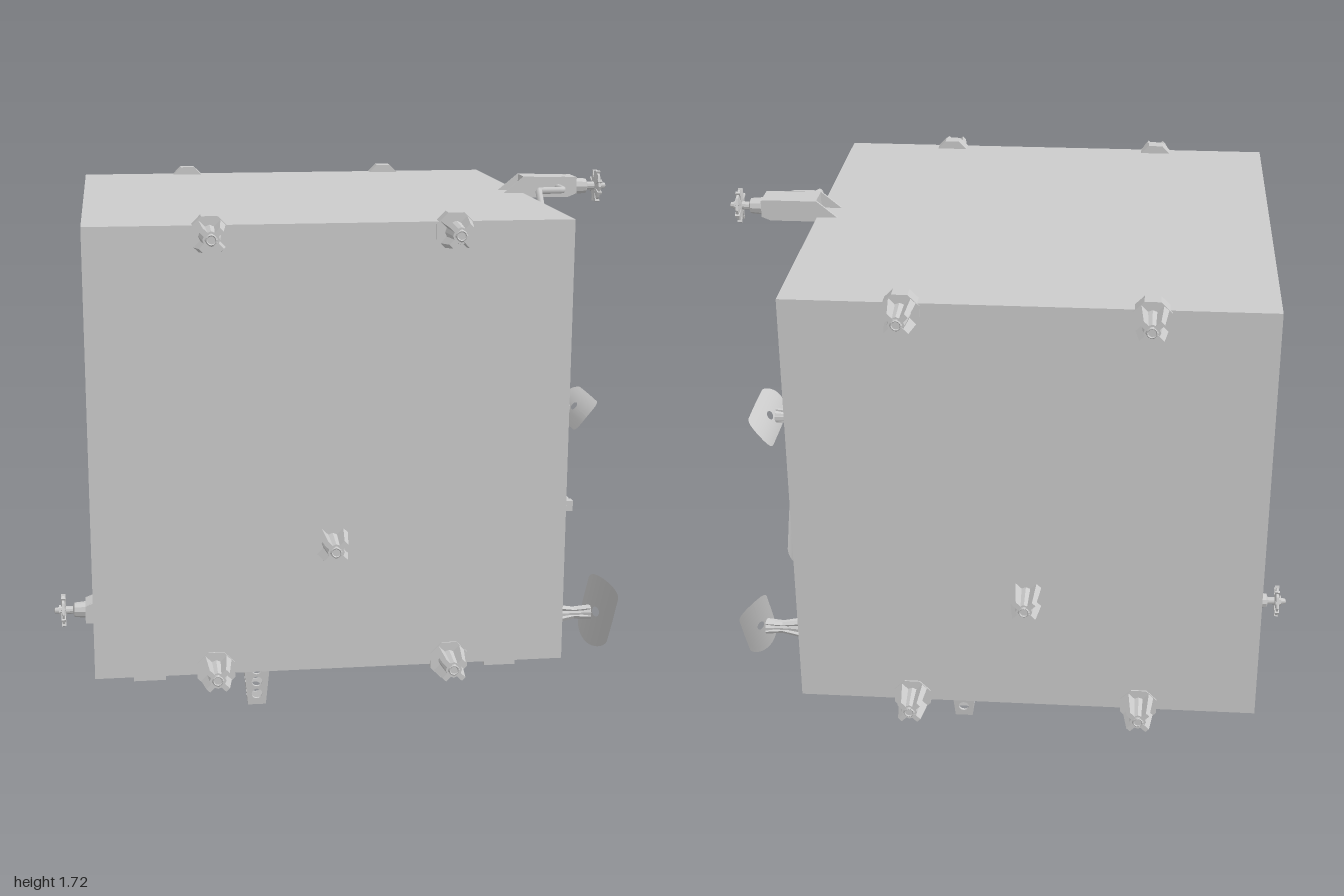
import * as THREE from 'three';

const mat = new THREE.MeshStandardMaterial({ color: 0xcccccc, flatShading: true });
const thin = new THREE.MeshStandardMaterial({ color: 0xcccccc, side: THREE.DoubleSide });

function add(parent, name, geo, x = 0, y = 0, z = 0, material = mat) {
  const m = new THREE.Mesh(geo, material);
  m.name = name;
  m.position.set(x, y, z);
  parent.add(m);
  return m;
}

function group(parent, name, x = 0, y = 0, z = 0) {
  const g = new THREE.Group();
  g.name = name;
  g.position.set(x, y, z);
  parent.add(g);
  return g;
}

const box = (w, h, d) => new THREE.BoxGeometry(w, h, d);

// Octagonal prism with flat sides along the axes, axis along z
const octagon = (r, depth) =>
  new THREE.CylinderGeometry(r, r, depth, 8).rotateY(Math.PI / 8).rotateX(Math.PI / 2);

// Box along z whose far end is scaled by k
function taperedBar(w, h, len, k) {
  const g = box(w, h, len).translate(0, 0, len / 2);
  const p = g.attributes.position;
  for (let i = 0; i < p.count; i++)
    if (p.getZ(i) > len / 2) p.setXY(i, p.getX(i) * k, p.getY(i) * k);
  return g;
}

// Outline with optional holes, extruded along z and centred on z = 0
function plate(points, depth, holes = []) {
  const s = new THREE.Shape(points.map(([x, y]) => new THREE.Vector2(x, y)));
  s.holes.push(...holes);
  return new THREE.ExtrudeGeometry(s, { depth, bevelEnabled: false, curveSegments: 8 })
    .translate(0, 0, -depth / 2);
}

// Cross-ribbed stud pointing along +z, with an optional octagonal mounting plate
function addStud(root, x, y, side, mounted) {
  const g = group(root, 'stud', x, y, side * 0.765);
  if (side < 0) g.rotation.y = Math.PI;
  add(g, 'studCore', new THREE.CylinderGeometry(0.027, 0.036, 0.1, 8).rotateX(Math.PI / 2), 0, 0, 0.045);
  for (const a of [1, -1])
    add(g, 'studRib', taperedBar(0.12, 0.022, 0.097, 0.75)).rotation.z = a * Math.PI / 4;
  add(g, 'studTip', new THREE.TorusGeometry(0.015, 0.005, 4, 12), 0, 0, 0.095);
  if (mounted) add(g, 'studMount', octagon(0.066, 0.048), 0, 0, -0.019);
}

// Curved, rounded paddle with a small hole, tilted outward
function paddleGeometry() {
  const g = new THREE.RingGeometry(0.3, 1, 40, 6);
  const p = g.attributes.position;
  const half = 0.175, r = 0.067;
  const along = new THREE.Vector2(0.085, 0.105).normalize();
  for (let i = 0; i < p.count; i++) {
    const a = Math.hypot(p.getX(i), p.getY(i)), t = (a - 0.3) / 0.7;
    const c = p.getX(i) / a, s = p.getY(i) / a;
    const edge = Math.abs(c) < 1e-6 ? 0 : Math.sign(c) * (half - r) + r * c;
    const u = THREE.MathUtils.lerp(0.024 * c, edge, t);
    const v = THREE.MathUtils.lerp(0.015 * s, r * s, t);
    const bend = 0.014 * (v / r) ** 2;
    p.setXYZ(i, v * along.x + bend * along.y, v * along.y - bend * along.x, u);
  }
  g.computeVertexNormals();
  return g;
}

// Paddle on a ribbed stem, swung around the axis of the side face
function addPaddle(root, angle) {
  const pivot = group(root, 'paddleAntenna', 0, 0.42, 0);
  pivot.rotation.x = angle;
  const g = group(pivot, 'paddleAssembly', 0.69, 0.44, 0);
  add(g, 'paddleMount', octagon(0.066, 0.035).rotateY(Math.PI / 2), -0.003);
  const profile = [[0, 0], [0.04, 0.01], [0.03, 0.06], [0.02, 0.12], [0.02, 0.17], [0.026, 0.2], [0, 0.205]];
  add(g, 'paddleStem', new THREE.LatheGeometry(profile.map(([r, y]) => new THREE.Vector2(r, y)), 8)
    .rotateZ(-Math.PI / 2));
  for (const a of [0, Math.PI / 2])
    add(g, 'stemRib', plate([[0, -0.055], [0.03, -0.045], [0.14, -0.022], [0.2, -0.028],
      [0.2, 0.028], [0.14, 0.022], [0.03, 0.045], [0, 0.055]], 0.014)).rotation.x = a;
  add(g, 'paddle', paddleGeometry(), 0.222, 0, 0, thin);
}

// Bracket with slotted cheeks and tail fins, carrying a spindle and a flared disc
function addArm(root, name, x, y, len, reach, low) {
  const g = group(root, name, x, y, 0);
  const slot = new THREE.Path([[0.02, -0.012], [0.02, 0.022], [len - 0.03, 0.022], [len - 0.03, -0.012]]
    .map(([a, b]) => new THREE.Vector2(a, b)));
  const body = [[0, 0.04], [len, 0.036], [len, low + 0.012], [len - 0.03, low], [0, low]];
  const cheek = [[-0.07, low + 0.016], ...body, [-0.01, low + 0.016]];
  add(g, 'armBody', plate(body.slice().reverse(), 0.086));
  for (const s of [1, -1]) add(g, 'armCheek', plate(cheek, 0.008, [slot]), 0, 0, s * 0.048);
  const spin = (nm, pts, n) => add(g, nm, new THREE.LatheGeometry(
    pts.map(([r, h]) => new THREE.Vector2(r, h)), n).rotateZ(-Math.PI / 2), reach, 0, 0);
  spin('spindle', [[0, -reach + len], [0.03, -reach + len], [0.026, -0.075], [0.014, -0.07],
    [0.014, -0.03], [0.01, -0.005], [0, 0]], 10);
  spin('disc', [[0.012, -0.045], [0.055, -0.04], [0.055, -0.032], [0.02, -0.03], [0.02, -0.02], [0, -0.02]], 8);
  for (let i = 0; i < 4; i++)
    add(g, 'discRib', box(0.016, 0.116, 0.008), reach - 0.036).rotation.x = i * Math.PI / 4 + Math.PI / 8;
  return g;
}

// Tapered square leg made of four perforated plates
function addLeg(root, x, z) {
  const g = group(root, 'leg', x, 0, z);
  for (let i = 0; i < 4; i++) {
    const holes = [0.04, 0.085, 0.13].map((y) => new THREE.Path().absarc(0, y, 0.018, 0, Math.PI * 2, true));
    const wall = plate([[-0.03, 0], [0.03, 0], [0.048, 0.19], [-0.048, 0.19]], 0.008, holes);
    const side = group(g, 'legSide');
    side.rotation.y = i * Math.PI / 2;
    add(side, 'legPlate', wall, 0, 0, 0.026).rotation.x = Math.atan2(0.018, 0.19);
  }
}

export function createModel() {
  const root = new THREE.Group();
  root.name = 'cubeSatelliteBody';

  // Main cube
  add(root, 'body', box(1.535, 1.46, 1.53), -0.0775, 0.917, 0);

  // Studs on the front and back faces
  for (const side of [1, -1]) {
    for (const x of [-0.455, 0.31]) for (const y of [0.2, 1.614]) addStud(root, x, y, side, true);
    addStud(root, -0.075, 0.615, side, false);
  }

  // Three paddles spaced evenly around the left face
  for (let i = 0; i < 3; i++) addPaddle(root, i * Math.PI * 2 / 3);

  // Spindle arms at the upper left and lower right edges
  addArm(root, 'upperArm', 0.69, 1.665, 0.19, 0.31, -0.033);
  addArm(root, 'lowerArm', -0.81, 0.15, 0.075, 0.19, -0.04).rotation.z = Math.PI;

  // Bent rod running down the left face
  const path = new THREE.CurvePath();
  const pts = [[0.69, 0.70, 0.72], [0.715, 0.70, 0.70], [0.717, 0.70, 0.62], [0.717, 0.75, 0.58], [0.717, 1.60, 0.225],
    [0.717, 1.66, 0.17], [0.725, 1.665, 0.135], [0.80, 1.665, 0.135], [0.815, 1.665, 0.115],
    [0.815, 1.665, 0.04]].map((p) => new THREE.Vector3(...p));
  for (let i = 1; i < pts.length; i++) path.add(new THREE.LineCurve3(pts[i - 1], pts[i]));
  add(root, 'rod', new THREE.TubeGeometry(path, 120, 0.012, 8), 0, 0, 0, thin);
  add(root, 'rodFoot', box(0.036, 0.034, 0.03), 0.705, 0.70, 0.71);
  const collar = add(root, 'rodCollar', new THREE.CylinderGeometry(0.02, 0.02, 0.014, 8), 0.717, 1.225, 0.382);
  collar.rotation.x = -Math.atan2(0.355, 0.85);

  // Legs and blocks under the floor
  addLeg(root, -0.31, 0.56);
  addLeg(root, 0.155, -0.56);
  for (const [x, z] of [[-0.667, 0.533], [-0.63, -0.535], [0.522, 0.533], [0.522, -0.535]]) {
    add(root, 'footBlock', box(0.107, 0.073, 0.107), x, 0.137, z);
    add(root, 'footNeck', box(0.08, 0.03, 0.08), x, 0.18, z);
  }
  return root;
}
